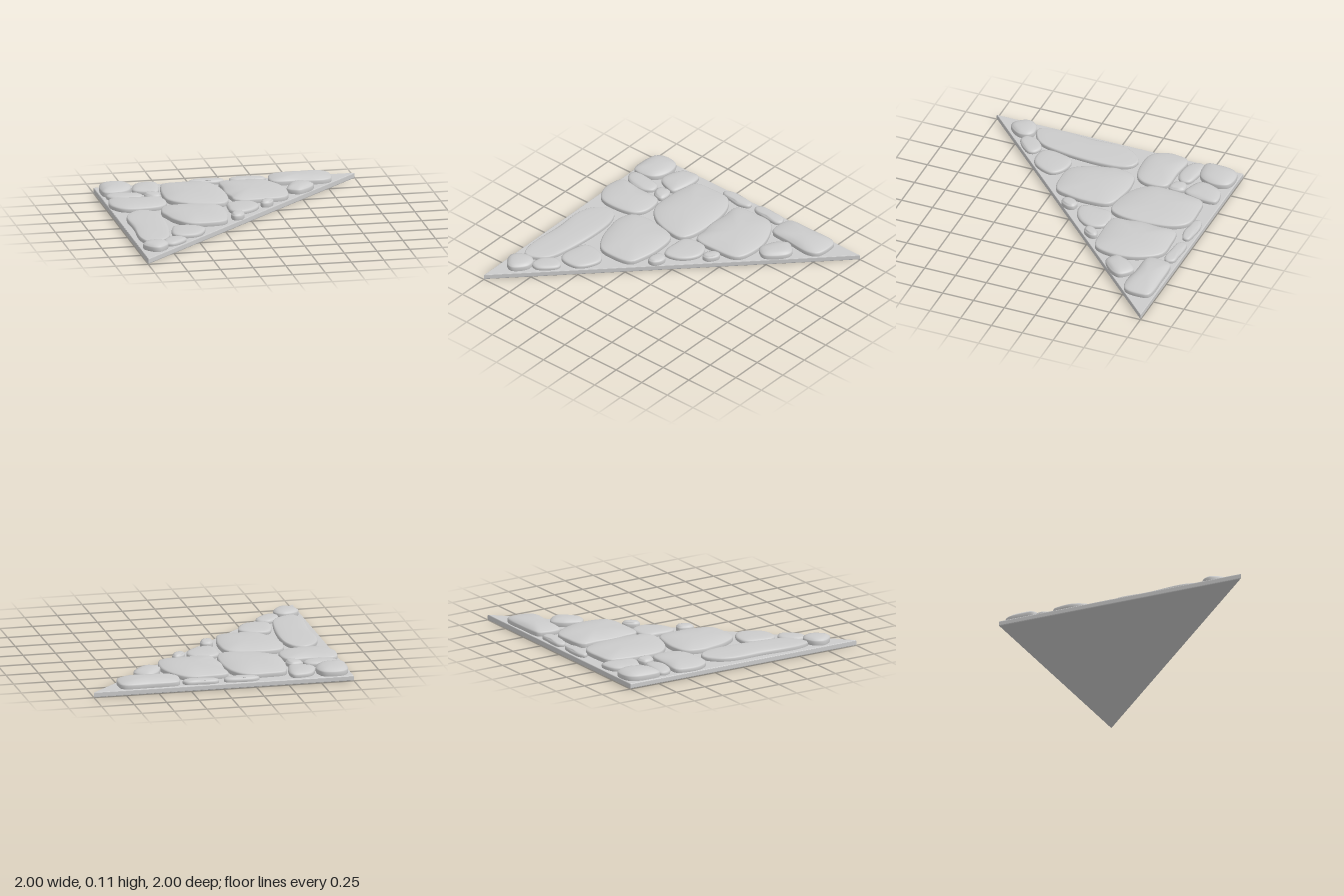
import * as THREE from 'three';

const material = new THREE.MeshStandardMaterial({ color: 0xcccccc });
const SIDES = 56;

// Pillow-topped stone: outline of [x, z] points (clockwise from above),
// edge = height where the wall rolls over, top = height of the dome.
function stone(name, edge, top, outline) {
  const curve = new THREE.CatmullRomCurve3(
    outline.map(([x, z]) => new THREE.Vector3(x, 0, z)), true, 'centripetal');
  const rim = curve.getSpacedPoints(SIDES).slice(0, SIDES);
  const centre = rim.reduce((s, p) => s.add(p), new THREE.Vector3()).divideScalar(SIDES);
  const pos = [], index = [];

  // Wall and rounded shoulder: [inset, y]
  const rings = [[0.006, 0.03], [0, 0.048], [0, edge - 0.012], [0.004, edge - 0.004], [0.014, edge]];
  for (const [inset, y] of rings) {
    for (const p of rim) {
      const q = p.clone().lerp(centre, inset / p.distanceTo(centre));
      pos.push(q.x, y, q.z);
    }
  }
  // Domed top: [scale of the rim, share of the rise]
  const dome = [[0.82, 0.4], [0.62, 0.72], [0.4, 0.91], [0.2, 0.98]];
  for (const [scale, rise] of dome) {
    for (const p of rim) {
      const q = centre.clone().lerp(p, scale);
      pos.push(q.x, edge + (top - edge) * rise, q.z);
    }
  }
  pos.push(centre.x, top, centre.z);

  const count = rings.length + dome.length;
  for (let r = 0; r < count; r++) {
    for (let i = 0; i < SIDES; i++) {
      const a = r * SIDES + i, b = r * SIDES + (i + 1) % SIDES;
      if (r === count - 1) index.push(b, a, count * SIDES);
      else index.push(b, a, a + SIDES, b, a + SIDES, b + SIDES);
    }
  }
  const geometry = new THREE.BufferGeometry();
  geometry.setAttribute('position', new THREE.Float32BufferAttribute(pos, 3));
  geometry.setIndex(index);
  geometry.computeVertexNormals();
  const mesh = new THREE.Mesh(geometry, material);
  mesh.name = name;
  return mesh;
}

// Thin triangular slab with softened edges
function baseSlab() {
  const bevel = 0.008, height = 0.042;
  const shape = new THREE.Shape([[-1, 1], [-1, -1], [1, 1]].map(([x, y]) => new THREE.Vector2(x, y)));
  const geometry = new THREE.ExtrudeGeometry(shape, {
    depth: height - 2 * bevel, bevelEnabled: true, bevelThickness: bevel,
    bevelSize: bevel, bevelOffset: -bevel, bevelSegments: 3,
  });
  geometry.rotateX(-Math.PI / 2).translate(0, bevel, 0);
  const mesh = new THREE.Mesh(geometry, material);
  mesh.name = 'baseSlab';
  return mesh;
}

export function createModel() {
  const group = new THREE.Group();
  group.name = 'triangularPaving';
  group.add(baseSlab());

  // Large paving stones
  group.add(
    stone('largeStoneBack', 0.08, 0.104, [[-0.5, -0.88], [-0.38, -0.9], [-0.2, -0.89], [-0.12, -0.79], [-0.085, -0.6],
      [-0.1, -0.36], [-0.15, -0.28], [-0.25, -0.275], [-0.43, -0.33], [-0.54, -0.44], [-0.555, -0.6], [-0.53, -0.8]]),
    stone('largeStoneLeft', 0.08, 0.104, [[-0.07, -0.84], [0.1, -0.87], [0.24, -0.86], [0.34, -0.73], [0.385, -0.56],
      [0.34, -0.36], [0.15, -0.325], [-0.05, -0.345], [-0.065, -0.45], [-0.085, -0.55], [-0.075, -0.7]]),
    stone('largeStoneFront', 0.08, 0.102, [[-0.62, -0.27], [-0.5, -0.305], [-0.35, -0.29], [-0.21, -0.24], [-0.18, -0.05],
      [-0.2, 0.1], [-0.24, 0.2], [-0.4, 0.23], [-0.52, 0.21], [-0.61, 0.08], [-0.645, -0.05], [-0.66, -0.13]]),
    stone('longStone', 0.074, 0.082, [[-0.81, -0.23], [-0.74, -0.21], [-0.69, -0.12], [-0.675, 0.05], [-0.7, 0.35],
      [-0.74, 0.52], [-0.8, 0.59], [-0.91, 0.63], [-0.955, 0.53], [-0.945, 0.2], [-0.945, -0.05], [-0.9, -0.16]]),
  );

  // Medium stones
  group.add(
    stone('cornerStone', 0.085, 0.106, [[-0.93, -0.98], [-0.85, -0.995], [-0.77, -0.97], [-0.74, -0.88], [-0.77, -0.77],
      [-0.83, -0.72], [-0.97, -0.72], [-0.985, -0.8], [-0.97, -0.93]]),
    stone('cornerNeighbour', 0.075, 0.088, [[-0.66, -0.96], [-0.55, -0.97], [-0.53, -0.93], [-0.54, -0.8], [-0.58, -0.7],
      [-0.65, -0.71], [-0.74, -0.76], [-0.745, -0.82], [-0.7, -0.93]]),
    stone('rightEdgeStone', 0.077, 0.094, [[-0.96, -0.57], [-0.78, -0.56], [-0.6, -0.55], [-0.57, -0.5], [-0.57, -0.37],
      [-0.62, -0.3], [-0.75, -0.265], [-0.92, -0.28], [-0.99, -0.38], [-0.99, -0.5]]),
    stone('backLeftStone', 0.08, 0.104, [[0.34, -0.97], [0.55, -0.985], [0.77, -0.97], [0.79, -0.9], [0.77, -0.78],
      [0.7, -0.745], [0.5, -0.76], [0.33, -0.78], [0.31, -0.85], [0.325, -0.94]]),
    stone('diagonalStoneLeft', 0.082, 0.1, [[0.44, -0.69], [0.52, -0.745], [0.61, -0.67], [0.6, -0.61], [0.5, -0.51],
      [0.46, -0.5], [0.39, -0.55], [0.4, -0.61]]),
    stone('diagonalStoneMiddle', 0.072, 0.08, [[-0.13, -0.28], [-0.08, -0.32], [0.05, -0.32], [0.09, -0.27], [0.1, -0.2],
      [0.06, -0.12], [-0.02, -0.06], [-0.11, -0.05], [-0.14, -0.1], [-0.14, -0.2]]),
    stone('diagonalStoneRight', 0.072, 0.08, [[-0.64, 0.24], [-0.55, 0.23], [-0.46, 0.27], [-0.425, 0.33], [-0.47, 0.45],
      [-0.53, 0.5], [-0.65, 0.5], [-0.69, 0.46], [-0.68, 0.33]]),
  );

  // Small filler stones
  group.add(
    stone('fillerRightEdge', 0.072, 0.082, [[-0.95, -0.71], [-0.8, -0.71], [-0.71, -0.68], [-0.7, -0.62], [-0.76, -0.575],
      [-0.88, -0.58], [-0.95, -0.62], [-0.97, -0.67]]),
    stone('fillerPebble', 0.076, 0.086, [[-0.68, -0.67], [-0.6, -0.69], [-0.57, -0.65], [-0.58, -0.57], [-0.64, -0.57],
      [-0.68, -0.61]]),
    stone('fillerBackRight', 0.07, 0.078, [[-0.24, -0.98], [-0.1, -0.98], [-0.02, -0.96], [-0.02, -0.92], [-0.1, -0.89],
      [-0.18, -0.9], [-0.27, -0.92], [-0.285, -0.95]]),
    stone('fillerBackLeft', 0.07, 0.078, [[0.05, -0.98], [0.2, -0.98], [0.28, -0.97], [0.3, -0.92], [0.27, -0.89],
      [0.14, -0.895], [0.05, -0.91], [0.025, -0.94]]),
    stone('diagonalPebbleLeft', 0.082, 0.092, [[0.16, -0.3], [0.21, -0.31], [0.225, -0.27], [0.18, -0.2], [0.13, -0.2],
      [0.12, -0.24]]),
    stone('diagonalPebbleRight', 0.082, 0.092, [[-0.13, -0.02], [-0.07, -0.01], [-0.06, 0.04], [-0.1, 0.1], [-0.15, 0.1],
      [-0.165, 0.05]]),
    stone('frontFiller', 0.07, 0.078, [[-0.7, 0.51], [-0.63, 0.54], [-0.62, 0.59], [-0.74, 0.7], [-0.8, 0.68],
      [-0.8, 0.61], [-0.78, 0.57]]),
    stone('frontTipStone', 0.085, 0.1, [[-0.95, 0.66], [-0.85, 0.63], [-0.8, 0.66], [-0.79, 0.74], [-0.87, 0.83],
      [-0.92, 0.82], [-0.98, 0.73]]),
  );
  return group;
}
